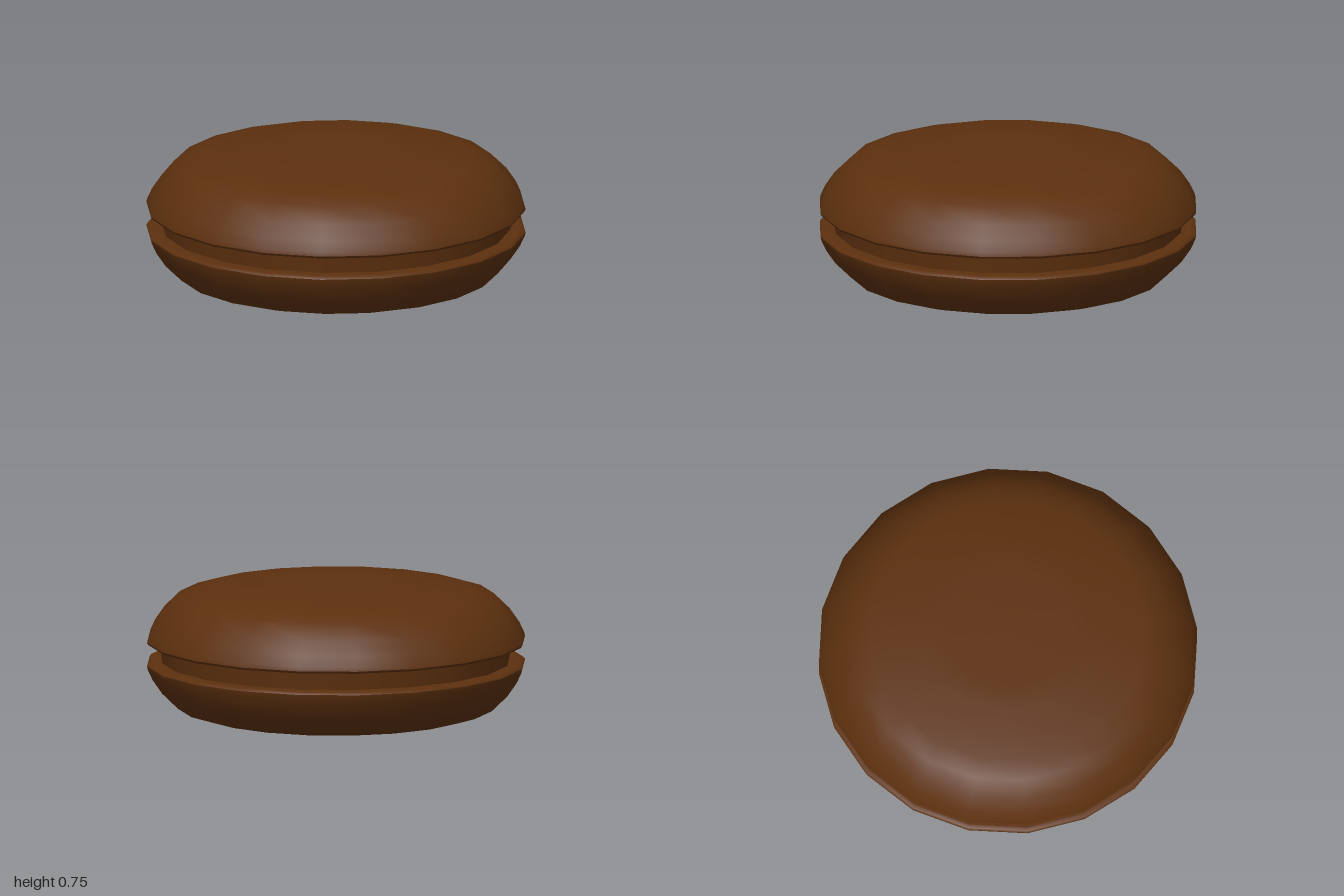
import * as THREE from 'three';

const HEIGHT = 0.75;
const SIDES = 20;

export function createModel() {
  const model = new THREE.Group();
  model.name = 'sandwichCookie';
  const material = new THREE.MeshStandardMaterial({ color: 0x5c300e, roughness: 0.8 });

  // Revolve a profile listed from bottom to top
  function lathe(name, profile, parent) {
    const points = profile.map(([r, y]) => new THREE.Vector2(r, y));
    const mesh = new THREE.Mesh(new THREE.LatheGeometry(points, SIDES), material);
    mesh.name = name;
    parent.add(mesh);
  }

  // Upper shell profiles; split where the edges are sharp
  const base = [[0, 0.423], [0.975, 0.423]];
  const lip = [[0.975, 0.423], [0.993, 0.426], [1, 0.438]];
  const dome = [
    [1, 0.438], [0.995, 0.458], [0.97, 0.512], [0.92, 0.585], [0.835, 0.668],
    [0.73, 0.7], [0.59, 0.718], [0.47, 0.738], [0.34, 0.748], [0, 0.75],
  ];
  const flip = (profile) => profile.map(([r, y]) => [r, HEIGHT - y]).reverse();

  // Two mirrored shells
  for (const [name, shape] of [['topShell', (p) => p], ['bottomShell', flip]]) {
    const shell = new THREE.Group();
    shell.name = name;
    lathe(name + 'InnerFace', shape(base), shell);
    lathe(name + 'Lip', shape(lip), shell);
    lathe(name + 'Dome', shape(dome), shell);
    model.add(shell);
  }

  // Filling between the shells
  lathe('filling', [[0.918, 0.32], [0.932, 0.43]], model);
  return model;
}
